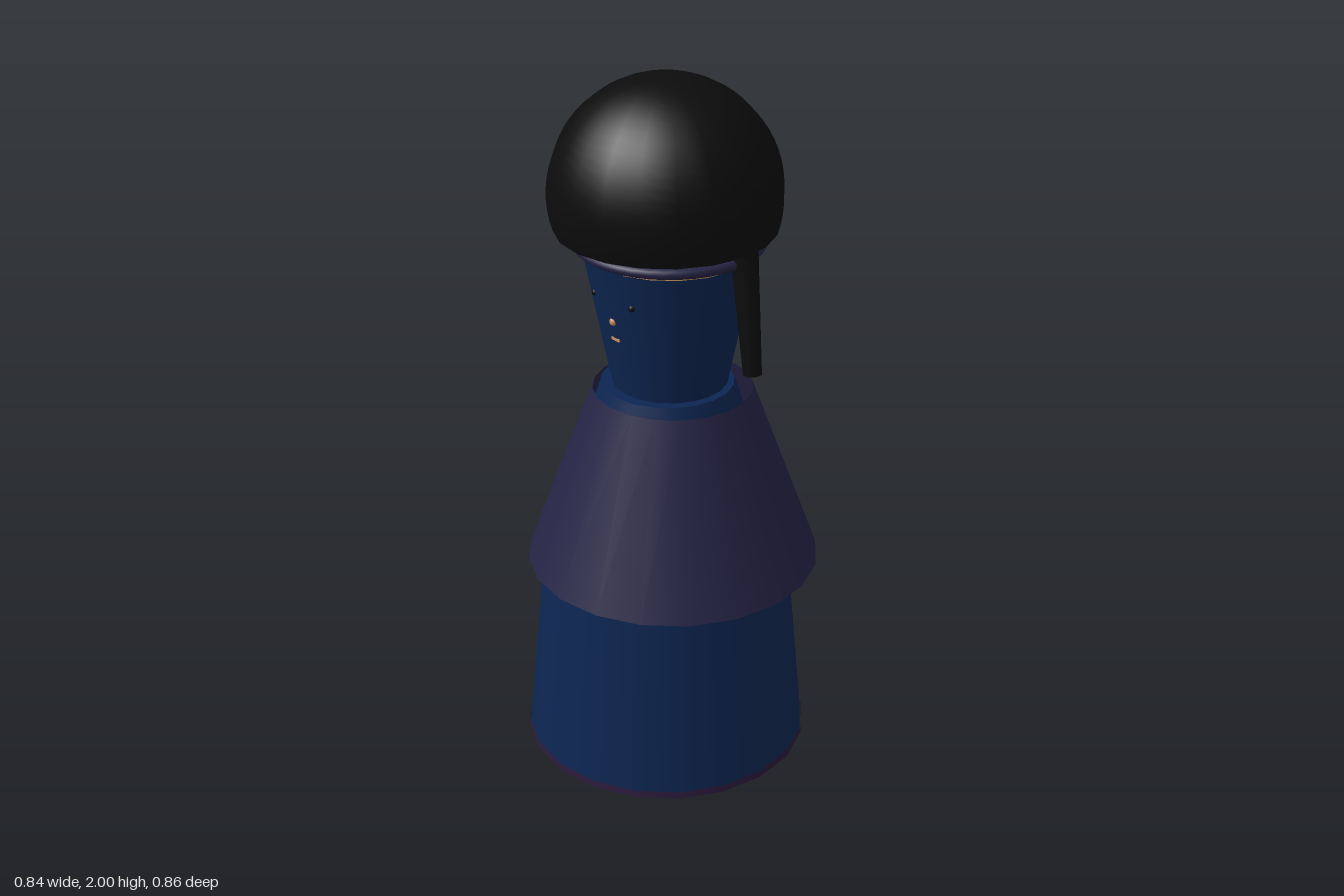
import * as THREE from 'three';

const SIDES = 20;

function mat(name, color, double = true) {
  const m = new THREE.MeshStandardMaterial({ color });
  m.name = name;
  if (double) m.side = THREE.DoubleSide;
  return m;
}

export function createModel() {
  const group = new THREE.Group();
  const blue = mat('navy cloth', 0x0d2652);
  const purple = mat('dusk purple cloth', 0x262446);
  const hem = mat('plum trim', 0x2b1b3d);
  const hair = mat('black hair', 0x0c0c0c);
  const skin = mat('tan skin', 0xc8935a, false);
  const eyeMat = mat('eye black', 0x0a0808, false);

  const add = (name, geo, material, x = 0, y = 0, z = 0) => {
    const m = new THREE.Mesh(geo, material);
    m.name = name;
    m.position.set(x, y, z);
    group.add(m);
    return m;
  };
  // Open tapered tube standing between two heights
  const cone = (name, material, y0, r0, y1, r1, z) =>
    add(name, new THREE.CylinderGeometry(r1, r0, y1 - y0, SIDES, 1, true), material, 0, (y0 + y1) / 2, z);

  // Dress: long skirt, hidden waist, flared overdress and hem band
  cone('skirt', blue, 0, 0.41, 0.6, 0.353, 0.017);
  cone('torso', blue, 0.6, 0.353, 1.13, 0.187, 0.01);
  cone('overdress', purple, 0.575, 0.42, 1.105, 0.225, -0.009);
  cone('hemBand', hem, 0, 0.413, 0.02, 0.411, 0.017);
  add('collarTop', new THREE.CircleGeometry(0.187, SIDES).rotateX(-Math.PI / 2), blue, 0, 1.129, 0.01);

  // Veil around the head, open at the top
  cone('veil', blue, 1.12, 0.16, 1.52, 0.238, 0.001);
  add('head', new THREE.SphereGeometry(0.13, 24, 16), skin, 0, 1.457, 0);
  add('headband', new THREE.TorusGeometry(0.25, 0.015, 10, 40).rotateX(Math.PI / 2), purple, 0, 1.545, 0.004);

  // Small face details showing through the veil
  for (const s of [-1, 1]) add('eye', new THREE.SphereGeometry(0.01, 10, 8), eyeMat, s * 0.075, 1.422, 0.203);
  add('nose', new THREE.SphereGeometry(0.012, 10, 8), skin, 0, 1.36, 0.203);
  add('mouth', new THREE.BoxGeometry(0.032, 0.008, 0.009), skin, 0, 1.306, 0.194);

  // Hair cap, open underneath
  add('hairCap', new THREE.SphereGeometry(0.318, SIDES, 20, 0, Math.PI * 2, 0, Math.PI * 0.6), hair, 0, 1.682, 0.017);

  // Hanging locks: tapered cylinders from a top point to a bottom point
  const lock = (name, top, bottom, rTop, rBottom) => {
    const a = new THREE.Vector3(...top), b = new THREE.Vector3(...bottom);
    const dir = a.clone().sub(b);
    const m = add(name, new THREE.CylinderGeometry(rTop, rBottom, dir.length(), 12), hair);
    m.position.copy(a).add(b).multiplyScalar(0.5);
    m.quaternion.setFromUnitVectors(new THREE.Vector3(0, 1, 0), dir.normalize());
  };
  for (const s of [-1, 1]) lock('sideLock', [s * 0.248, 1.64, -0.03], [s * 0.295, 1.235, -0.03], 0.04, 0.026);
  lock('backLock', [0, 1.64, -0.25], [0, 1.305, -0.23], 0.045, 0.03);

  return group;
}
